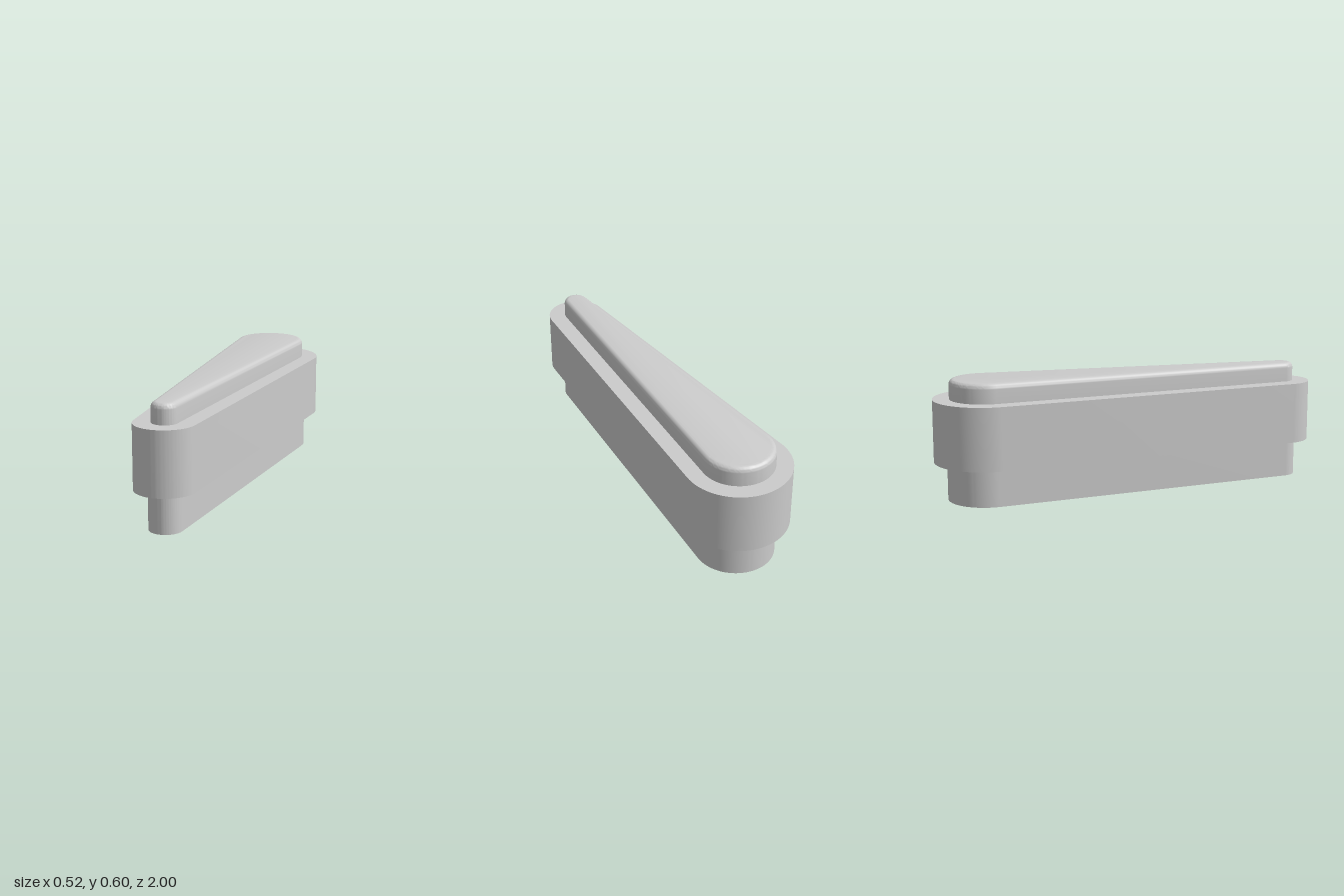
import * as THREE from 'three';
import { toCreasedNormals } from 'three/addons/utils/BufferGeometryUtils.js';

const BACK_Z = -0.74;
const FRONT_Z = 0.851;

// Two circles joined by their outer tangents: wide at the back, narrow in front
function taperedOutline(backRadius, frontRadius) {
  const phi = Math.asin((backRadius - frontRadius) / (FRONT_Z - BACK_Z));
  const shape = new THREE.Shape();
  shape.absarc(0, -BACK_Z, backRadius, -phi, Math.PI + phi, false);
  shape.absarc(0, -FRONT_Z, frontRadius, Math.PI + phi, Math.PI * 2 - phi, false);
  shape.closePath();
  return shape;
}

function taperedSlab(name, backRadius, frontRadius, bottom, top, bevel = 0) {
  const geometry = new THREE.ExtrudeGeometry(taperedOutline(backRadius, frontRadius), {
    depth: top - bottom - 2 * bevel,
    curveSegments: 32,
    bevelEnabled: bevel > 0,
    bevelThickness: bevel,
    bevelSize: bevel,
    bevelOffset: -bevel,
    bevelSegments: 6,
  });
  geometry.translate(0, 0, bevel);
  geometry.rotateX(-Math.PI / 2);
  geometry.translate(0, bottom, 0);
  const mesh = new THREE.Mesh(
    toCreasedNormals(geometry, 0.6),
    new THREE.MeshStandardMaterial({ color: 0xcccccc })
  );
  mesh.name = name;
  return mesh;
}

export function createModel() {
  const group = new THREE.Group();
  group.name = 'taperedBlock';
  group.add(
    taperedSlab('base', 0.196, 0.081, 0, 0.183),
    taperedSlab('body', 0.261, 0.148, 0.192, 0.505),
    // Core shows as the thin neck under the body and the rounded cap above it
    taperedSlab('coreAndCap', 0.179, 0.063, 0.1, 0.603, 0.027)
  );
  return group;
}
